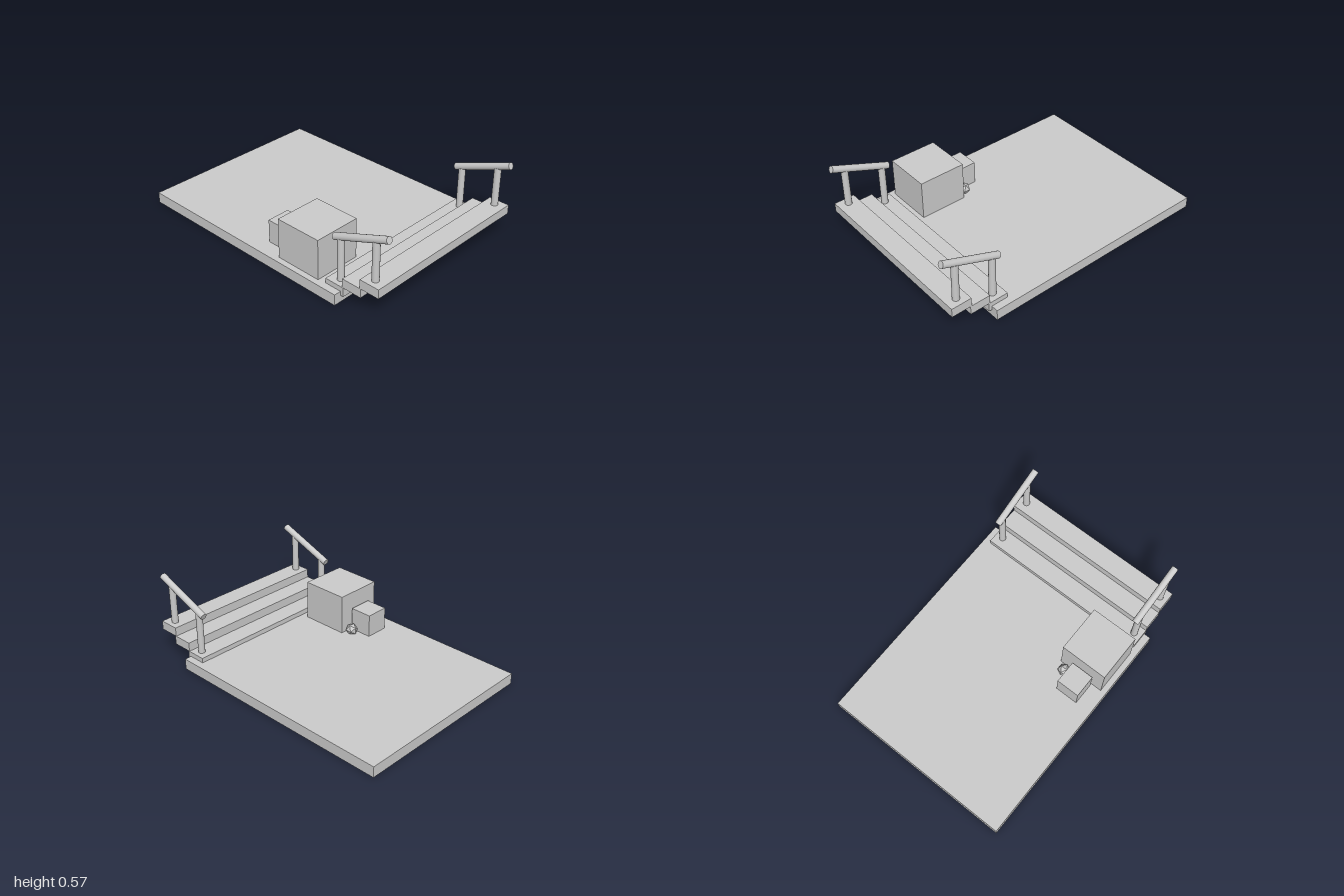
import * as THREE from 'three';

export function createModel() {
  const model = new THREE.Group();
  const grey = new THREE.MeshStandardMaterial({ color: 0xcccccc });
  const faceted = new THREE.MeshStandardMaterial({ color: 0xcccccc, flatShading: true });

  const add = (name, geometry, x, y, z, parent = model, material = grey) => {
    const mesh = new THREE.Mesh(geometry, material);
    mesh.name = name;
    mesh.position.set(x, y, z);
    parent.add(mesh);
    return mesh;
  };
  // Box placed by the centre of its underside
  const box = (name, w, h, d, x, y, z) =>
    add(name, new THREE.BoxGeometry(w, h, d), x, y + h / 2, z);

  // Floor slab
  const floorTop = 0.076;
  box('floor', 1.36, floorTop, 1.68, 0, 0, -0.16);

  // Three overlapping steps rising to the front
  const stepHeight = 0.063;
  const stepBase = 0.047;
  const stepZ = (i) => 0.63 + i * 0.135;
  const stepTop = (i) => stepBase + (i + 1) * stepHeight;
  for (let i = 0; i < 3; i++) {
    box('step' + (i + 1), 1.26, stepHeight, 0.144, 0, stepBase + i * stepHeight, stepZ(i));
  }

  // Sloping handrails, each on two posts
  const radius = 0.0235;
  const low = new THREE.Vector3(0, 0.393, 0.582);
  const high = new THREE.Vector3(0, 0.552, 0.992);
  const span = high.clone().sub(low);
  for (const [side, x] of [['left', 0.575], ['right', -0.575]]) {
    const railing = new THREE.Group();
    railing.name = side + 'Railing';
    railing.position.x = x;
    model.add(railing);

    const middle = low.clone().add(high).multiplyScalar(0.5);
    const rail = add('handrail', new THREE.CylinderGeometry(radius, radius, span.length(), 16),
      0, middle.y, middle.z, railing);
    rail.quaternion.setFromUnitVectors(new THREE.Vector3(0, 1, 0), span.clone().normalize());

    for (const i of [0, 2]) {
      const z = stepZ(i);
      const top = low.y + (span.y * (z - low.z)) / span.z - 0.01;
      const h = top - stepTop(i);
      add('post', new THREE.CylinderGeometry(radius, radius, h, 16), 0, stepTop(i) + h / 2, z, railing);
    }
  }

  // Crates and a small rock on the floor
  box('largeCrate', 0.335, 0.28, 0.338, -0.472, floorTop, 0.336);
  box('smallCrate', 0.164, 0.162, 0.16, -0.48, floorTop, 0.076);
  add('rock', new THREE.IcosahedronGeometry(0.043, 0), -0.36, 0.099, 0.124, model, faceted);

  return model;
}
